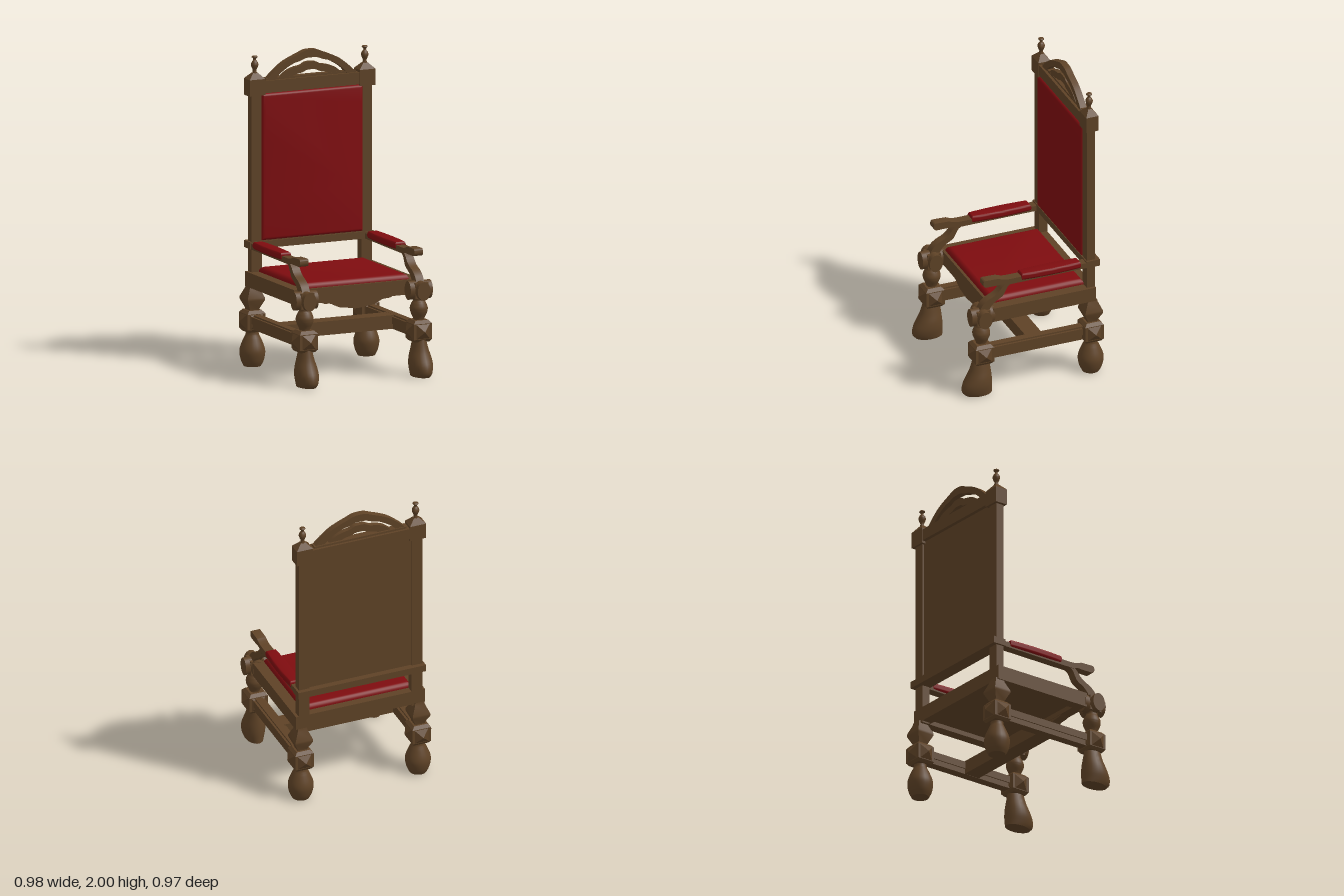
import * as THREE from 'three';
import { toCreasedNormals } from 'three/addons/utils/BufferGeometryUtils.js';

const wood = new THREE.MeshStandardMaterial({ color: 0x5e4226 });
wood.name = 'brown wood';
const fabric = new THREE.MeshStandardMaterial({ color: 0x7e0c0f });
fabric.name = 'red upholstery';

export function createModel() {
  const chair = new THREE.Group();
  chair.name = 'armchair';

  function add(name, geometry, x, y, z, material = wood) {
    const mesh = new THREE.Mesh(toCreasedNormals(geometry, 0.6), material);
    mesh.name = name;
    mesh.position.set(x, y, z);
    chair.add(mesh);
    return mesh;
  }
  // box given by its limits
  function box(name, x0, x1, y0, y1, z0, z1) {
    return add(name, new THREE.BoxGeometry(x1 - x0, y1 - y0, z1 - z0), (x0 + x1) / 2, (y0 + y1) / 2, (z0 + z1) / 2);
  }
  const turned = (points, sides = 24) =>
    new THREE.LatheGeometry(points.map(([r, y]) => new THREE.Vector2(r, y)), sides);
  // square-section turning: r is half the side
  const squareTurned = (points) =>
    turned(points.map(([r, y]) => [r * Math.SQRT2, y]), 4).rotateY(Math.PI / 4);
  const smooth = (points, n) =>
    new THREE.SplineCurve(points.map(([a, b]) => new THREE.Vector2(a, b))).getPoints(n);
  const plain = (shape, depth) =>
    new THREE.ExtrudeGeometry(shape, { depth, bevelEnabled: false, curveSegments: 10 }).translate(0, 0, -depth / 2);
  // profile drawn as (z, y), extruded across x
  const sideProfile = (shape, width) => plain(shape, width).rotateY(-Math.PI / 2);
  // flat cushion with rounded edges; bulge swells the long sides
  function pillow(w, h, t, edge, bulge = 0) {
    const a = w / 2 - edge, b = h / 2 - edge;
    const s = new THREE.Shape();
    s.moveTo(-a, -b);
    s.lineTo(a, -b);
    s.quadraticCurveTo(a + bulge, 0, a, b);
    s.lineTo(-a, b);
    s.quadraticCurveTo(-a - bulge, 0, -a, -b);
    return new THREE.ExtrudeGeometry(s, {
      depth: 0.002, bevelThickness: t, bevelSize: edge, bevelSegments: 5, curveSegments: 10,
    });
  }

  // seat frame, base board and cushion
  for (const s of [-1, 1]) add('seatSideRail', new THREE.BoxGeometry(0.07, 0.095, 0.7), s * 0.405, 0.5575, -0.06);
  box('seatFrontRail', -0.37, 0.37, 0.51, 0.605, 0.225, 0.295);
  box('seatBackRail', -0.37, 0.37, 0.51, 0.605, -0.41, -0.34);
  box('seatBoard', -0.37, 0.37, 0.54, 0.6, -0.34, 0.225);
  add('seatCushion', pillow(0.74, 0.635, 0.035, 0.035).rotateX(-Math.PI / 2), 0, 0.603, -0.04, fabric);

  // scalloped apron under the front rail
  const apron = new THREE.Shape();
  apron.moveTo(0.26, 0.515);
  apron.lineTo(-0.26, 0.515);
  apron.splineThru([[-0.23, 0.5], [-0.18, 0.495], [-0.12, 0.468], [-0.06, 0.46], [0, 0.452],
    [0.06, 0.46], [0.12, 0.468], [0.18, 0.495], [0.23, 0.5], [0.26, 0.515]].map(([x, y]) => new THREE.Vector2(x, y)));
  add('frontApron', plain(apron, 0.06), 0, 0, 0.258);

  // backrest
  box('backPanel', -0.36, 0.36, 0.79, 1.76, -0.4, -0.358);
  box('backLowerRail', -0.435, 0.435, 0.755, 0.8, -0.44, -0.348);
  box('crestRail', -0.335, 0.335, 1.75, 1.825, -0.425, -0.348);
  box('crestStrip', -0.315, 0.315, 1.82, 1.838, -0.41, -0.365);
  add('backCushion', pillow(0.71, 0.94, 0.022, 0.022), 0, 1.275, -0.362, fabric);

  // carved arches on the crest
  function arch(name, outer, inner, depth) {
    const mirror = (p) => [...p, ...p.slice(0, -1).reverse().map(([x, y]) => [-x, y])];
    const shape = new THREE.Shape([...smooth(mirror(outer), 40), ...smooth(mirror(inner), 40).reverse()]);
    add(name, plain(shape, depth), 0, 0, -0.382);
  }
  arch('outerArch',
    [[-0.315, 1.825], [-0.27, 1.87], [-0.2, 1.925], [-0.14, 1.955], [-0.09, 1.975], [-0.04, 1.995], [0, 1.998]],
    [[-0.25, 1.825], [-0.22, 1.86], [-0.17, 1.895], [-0.12, 1.92], [-0.08, 1.93], [-0.04, 1.945], [0, 1.947]], 0.042);
  arch('innerArch',
    [[-0.22, 1.83], [-0.17, 1.87], [-0.12, 1.89], [-0.07, 1.9], [-0.035, 1.917], [0, 1.92]],
    [[-0.15, 1.83], [-0.12, 1.84], [-0.09, 1.85], [-0.06, 1.855], [-0.03, 1.868], [0, 1.87]], 0.032);

  // front foot: oval rings that sweep forward as they go down [y, half width, z back, z front]
  function clawFoot() {
    const rings = smoothRings([[0, 0.055, -0.07, 0.11], [0.025, 0.064, -0.07, 0.13], [0.07, 0.073, -0.07, 0.125],
      [0.12, 0.07, -0.066, 0.1], [0.17, 0.056, -0.06, 0.078], [0.235, 0.04, -0.05, 0.06]]);
    const n = 24, pos = [], index = [];
    rings.forEach(([y, w, zb, zf]) => {
      for (let i = 0; i < n; i++) {
        const a = (i / n) * Math.PI * 2;
        pos.push(Math.sin(a) * w, y, (zb + zf) / 2 + Math.cos(a) * (zf - zb) / 2);
      }
    });
    for (let r = 0; r < rings.length - 1; r++) {
      for (let i = 0; i < n; i++) {
        const a = r * n + i, b = r * n + (i + 1) % n;
        index.push(a, b, b + n, a, b + n, a + n);
      }
    }
    for (let i = 1; i < n - 1; i++) index.push(0, i + 1, i);
    const g = new THREE.BufferGeometry();
    g.setAttribute('position', new THREE.Float32BufferAttribute(pos, 3));
    g.setIndex(index);
    return g;
  }
  function smoothRings(keys) {
    const ys = smooth(keys.map(k => [k[0], k[1]]), 15);
    const zs = smooth(keys.map(k => [k[2], k[3]]), 15);
    return ys.map((p, i) => [p.x, p.y, zs[i].x, zs[i].y]);
  }

  // leg block with a pyramid stud on each upright face
  function studBlock(x, z) {
    add('legBlock', squareTurned([[0, 0.222], [0.05, 0.222], [0.063, 0.24], [0.063, 0.34], [0.045, 0.36], [0, 0.36]]), x, 0, z);
    for (let i = 0; i < 4; i++) {
      const stud = new THREE.ConeGeometry(0.047 * Math.SQRT2, 0.03, 4, 1, true).rotateY(Math.PI / 4)
        .rotateX(Math.PI / 2).translate(0, 0, 0.077).rotateY(i * Math.PI / 2);
      add('blockStud', stud, x, 0.29, z);
    }
  }

  const arm = new THREE.Shape();
  arm.moveTo(-0.41, 0.755);
  arm.lineTo(0.19, 0.752);
  arm.quadraticCurveTo(0.22, 0.768, 0.25, 0.762);
  arm.lineTo(0.335, 0.762);
  arm.quadraticCurveTo(0.357, 0.765, 0.355, 0.79);
  arm.quadraticCurveTo(0.355, 0.812, 0.335, 0.811);
  arm.lineTo(0.25, 0.808);
  arm.quadraticCurveTo(0.22, 0.792, 0.18, 0.79);
  arm.lineTo(-0.41, 0.79);

  const support = new THREE.Shape([
    ...smooth([[0.385, 0.59], [0.36, 0.635], [0.325, 0.665], [0.275, 0.69], [0.245, 0.715], [0.225, 0.74], [0.185, 0.775]], 20),
    ...smooth([[0.14, 0.765], [0.185, 0.74], [0.205, 0.705], [0.225, 0.675], [0.275, 0.645], [0.305, 0.615], [0.315, 0.59]], 20),
  ]);

  for (const s of [-1, 1]) {
    const x = s * 0.4, zf = 0.358, zb = -0.39;

    // back post, cap and finial
    box('backPost', s * 0.385 - 0.036, s * 0.385 + 0.036, 0.5, 1.75, -0.411, -0.355);
    const cap = squareTurned([[0, 1.735], [0.055, 1.735], [0.055, 1.84], [0.05, 1.845], [0.016, 1.878], [0, 1.878]]);
    add('postCap', cap.scale(1, 1, 0.77), s * 0.386, 0, -0.385);
    add('finial', turned(smooth([[0.016, 1.87], [0.012, 1.895], [0.018, 1.91], [0.024, 1.93], [0.018, 1.948], [0.009, 1.96],
      [0.011, 1.97], [0.019, 1.978], [0.014, 1.986], [0, 1.988]], 36), 16), s * 0.386, 0, -0.385);

    // arm, pad and curved support
    add('arm', sideProfile(arm, 0.06), s * 0.401, 0, 0);
    add('armPad', pillow(0.074, 0.405, 0.022, 0.012, 0.016).rotateX(-Math.PI / 2), s * 0.402, 0.786, -0.107, fabric);
    add('armSupport', sideProfile(support, 0.055), x, 0, 0);

    // crossed oval drums on the front legs
    for (const turn of [0, Math.PI / 2]) {
      const drum = new THREE.CylinderGeometry(1, 1, 0.155, 24).rotateX(Math.PI / 2)
        .scale(0.045, 0.06, 1).rotateY(turn);
      add('frontLegDrum', drum, x, 0.55, zf);
    }
    box('frontLegCore', x - 0.045, x + 0.045, 0.5, 0.6, zf - 0.045, zf + 0.045);
    add('frontLegVase', turned(smooth([[0.034, 0.35], [0.036, 0.37], [0.052, 0.405], [0.057, 0.435], [0.047, 0.465],
      [0.036, 0.485], [0.038, 0.51]], 24)), x, 0, zf);
    add('frontFoot', clawFoot(), x, 0, zf);

    // back leg
    add('backLegVase', squareTurned([[0.032, 0.35], [0.034, 0.37], [0.06, 0.425], [0.06, 0.44], [0.034, 0.5], [0.03, 0.52]]), x, 0, zb);
    add('backFoot', turned([[0, 0], ...smooth([[0.055, 0], [0.072, 0.035], [0.082, 0.085], [0.076, 0.125], [0.056, 0.175],
      [0.042, 0.205], [0.04, 0.235]], 24)]), x, 0, zb);

    studBlock(x, zf);
    studBlock(x, zb);

    // moulded side stretcher
    box('sideStretcher', x - 0.03, x + 0.03, 0.245, 0.325, zb, zf);
    box('stretcherMoulding', x - 0.038, x + 0.038, 0.28, 0.325, zb, zf);
    box('stretcherTop', x - 0.024, x + 0.024, 0.325, 0.335, zb, zf);
  }

  // cross stretcher between the sides
  box('crossStretcher', -0.38, 0.38, 0.246, 0.334, -0.06, 0.05);
  return chair;
}
